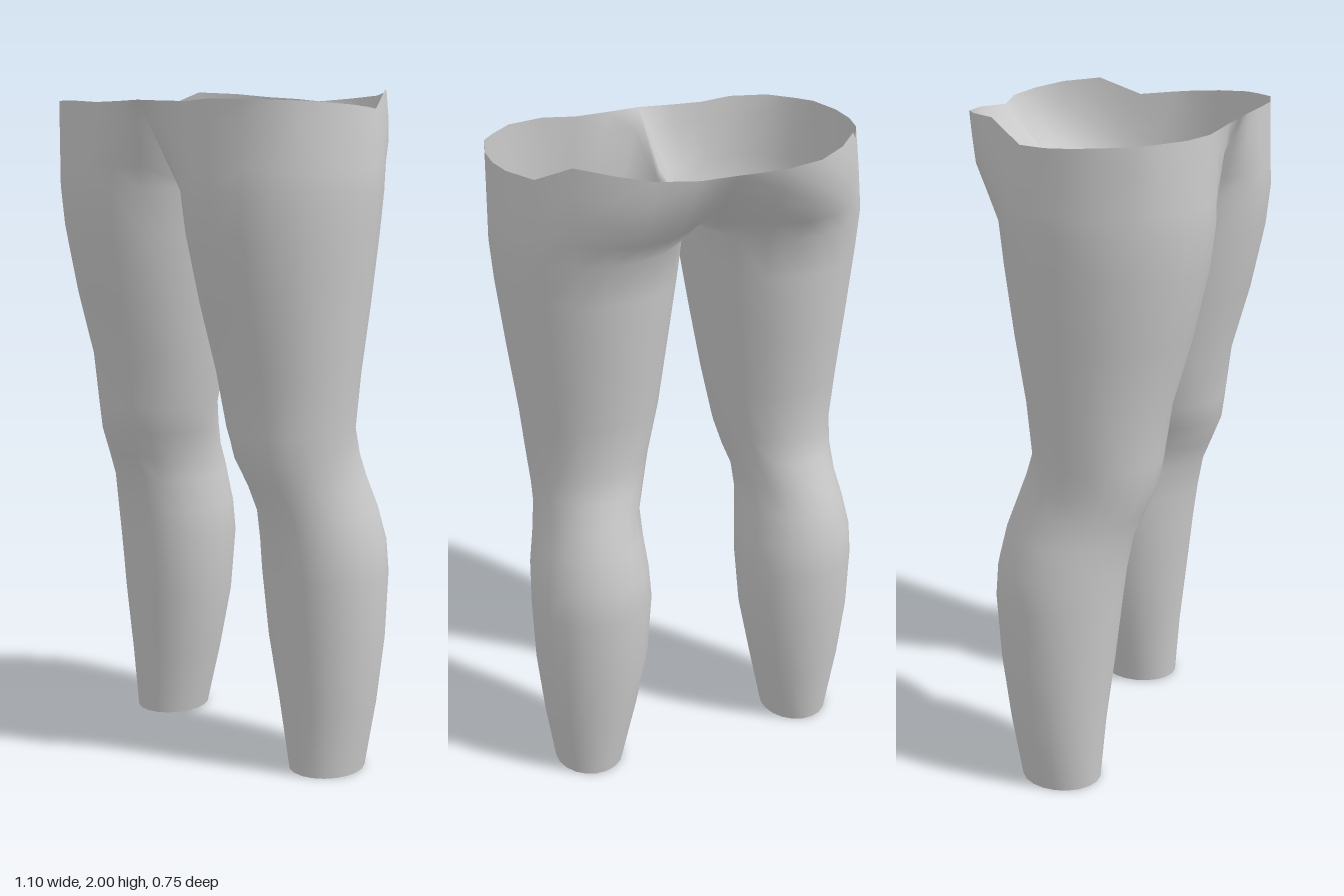
import * as THREE from 'three';
import { mergeGeometries, mergeVertices } from 'three/addons/utils/BufferGeometryUtils.js';

const SIDES = 20;

// Leg cross-sections: height, inner x, outer x, back z, front z
const SECTIONS = [
  [0, 0.26, 0.47, -0.17, 0.07],
  [0.2, 0.215, 0.5, -0.203, 0.085],
  [0.4, 0.175, 0.52, -0.23, 0.108],
  [0.6, 0.16, 0.525, -0.245, 0.13],
  [0.7, 0.165, 0.52, -0.238, 0.143],
  [0.8, 0.175, 0.5, -0.215, 0.162],
  [0.88, 0.175, 0.483, -0.187, 0.195],
  [0.96, 0.148, 0.48, -0.16, 0.228],
  [1.04, 0.125, 0.485, -0.138, 0.24],
  [1.2, 0.09, 0.5, -0.155, 0.26],
  [1.4, 0.06, 0.522, -0.188, 0.315],
  [1.6, 0.03, 0.543, -0.215, 0.357],
  [1.72, 0.015, 0.552, -0.228, 0.37],
];

// Waist rim from front centre round the hip to back centre, then under the crotch to the front
const TOP_LOOP = [
  [0, 1.97, 0.362], [0.1, 1.967, 0.358], [0.2, 1.965, 0.357], [0.3, 1.97, 0.367],
  [0.41, 1.97, 0.338], [0.475, 1.967, 0.28], [0.515, 1.965, 0.235], [0.542, 1.96, 0.14],
  [0.545, 1.955, 0.06], [0.53, 1.95, -0.01], [0.48, 1.945, -0.1], [0.41, 2, -0.21],
  [0.33, 1.995, -0.3], [0.24, 1.985, -0.355], [0.12, 1.978, -0.375], [0, 1.97, -0.35],
  [0, 1.85, -0.25], [0, 1.78, -0.1], [0, 1.768, 0.03], [0, 1.83, 0.19],
];

// Column angle, measured from the inner side of the leg towards the front
const angle = (k) => Math.PI / 4 + (k / SIDES) * Math.PI * 2;

function legRing([y, x0, x1, z0, z1]) {
  const fit = 1 / Math.cos(Math.PI / SIDES);
  return Array.from({ length: SIDES }, (_, k) => new THREE.Vector3(
    (x0 + x1) / 2 - ((x1 - x0) / 2) * fit * Math.cos(angle(k)),
    y,
    (z0 + z1) / 2 + ((z1 - z0) / 2) * fit * Math.sin(angle(k)),
  ));
}

// Blend the thigh into the top loop, swelling the buttock at the back
function hipRing(thigh, top, t) {
  return thigh.map((p, k) => {
    const q = p.clone().lerp(top[k], t);
    q.z -= 0.035 * Math.max(0, -Math.sin(angle(k))) ** 3 * Math.sin(Math.PI * t);
    return q;
  });
}

// Loft one half of the body; side is +1 or -1
function halfBody(side) {
  const rings = SECTIONS.map(legRing);
  const thigh = rings[rings.length - 1];
  const top = TOP_LOOP.map((p) => new THREE.Vector3(...p));
  for (const t of [0.25, 0.5, 0.75, 1]) rings.push(hipRing(thigh, top, t));

  const positions = rings.flat().flatMap((p) => [Math.abs(p.x) < 1e-6 ? 0 : p.x * side, p.y, p.z]);
  const index = [];
  for (let r = 0; r < rings.length - 1; r++) {
    for (let k = 0; k < SIDES; k++) {
      const a = r * SIDES + k;
      const b = r * SIDES + ((k + 1) % SIDES);
      const c = a + SIDES;
      const d = b + SIDES;
      if (side > 0) index.push(a, b, d, a, d, c);
      else index.push(a, d, b, a, c, d);
    }
  }
  const geometry = new THREE.BufferGeometry();
  geometry.setAttribute('position', new THREE.Float32BufferAttribute(positions, 3));
  geometry.setIndex(index);
  return geometry;
}

export function createModel() {
  const group = new THREE.Group();
  group.name = 'lowerBody';

  // Both halves are welded along the middle so the hips shade smoothly
  const geometry = mergeVertices(mergeGeometries([halfBody(1), halfBody(-1)]), 1e-4);
  geometry.computeVertexNormals();
  const material = new THREE.MeshStandardMaterial({ color: 0xcccccc, side: THREE.DoubleSide });
  const legs = new THREE.Mesh(geometry, material);
  legs.name = 'hipsAndLegs';
  group.add(legs);
  return group;
}
